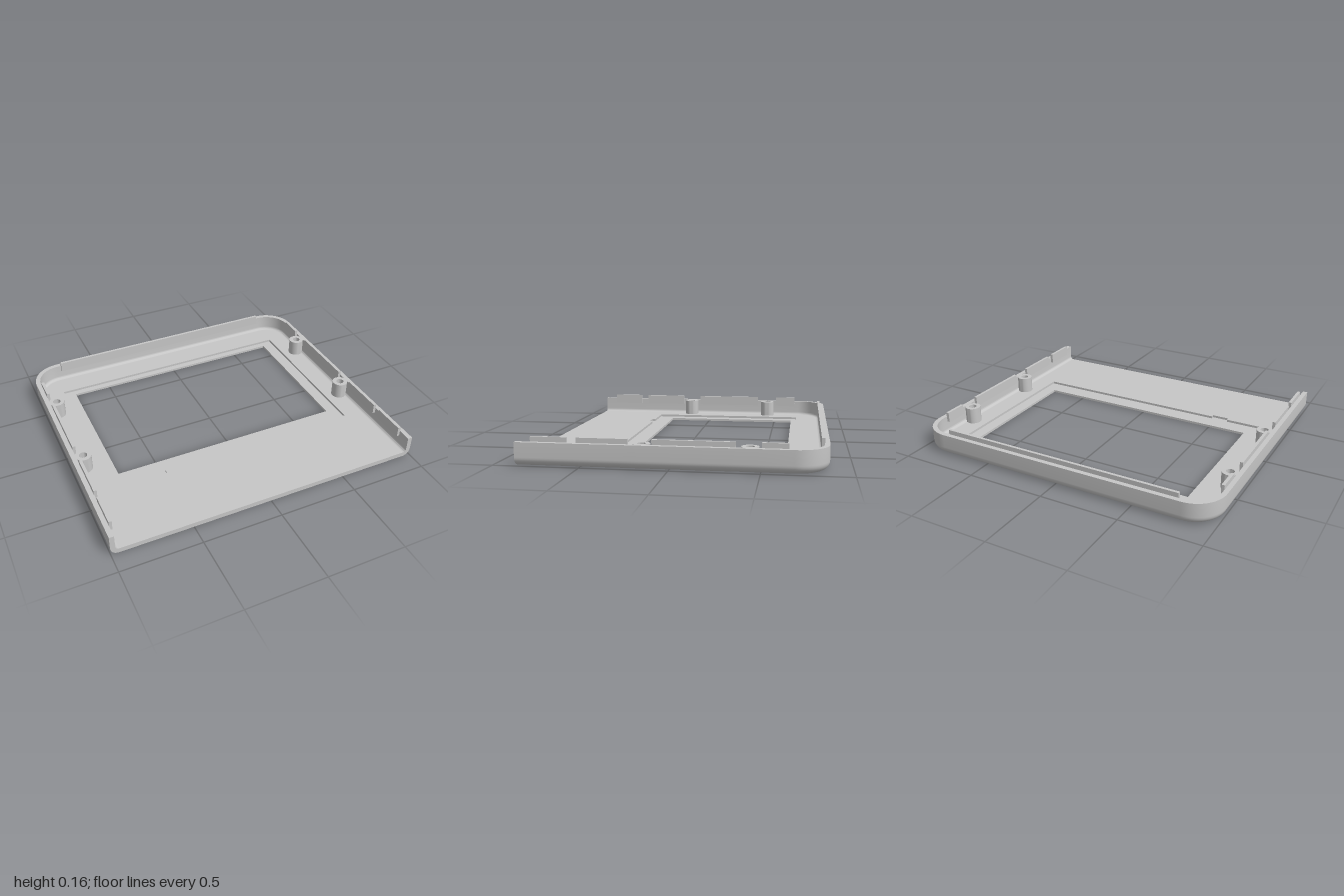
import * as THREE from 'three';
import { toCreasedNormals } from 'three/addons/utils/BufferGeometryUtils.js';

const HX = 1, HZ = 0.87, CORNER = 0.19;        // plan half sizes and back corner radius
const FLOOR = 0.03, WALL = 0.03, RIM = 0.136;  // thicknesses and wall height
const FILLET = 0.05;                           // outer bottom rounding
const POST_X = 0.925, POST_Z = [0.16, -0.44], BORE = 0.043;
const HALF = Math.sqrt(BORE ** 2 - (HX - FILLET - POST_X) ** 2); // bore half chord at the fillet start

// Wall section as [inset, height, rounding], from the underside over the rim to the floor
function wallProfile() {
  const p = [], n = 8;
  for (let i = 0; i <= n; i++) {
    const a = (i / n) * Math.PI / 2;
    p.push([FILLET - FILLET * Math.sin(a), FILLET - FILLET * Math.cos(a), FILLET]);
  }
  p.reverse();
  p.sort((a, b) => a[1] - b[1]);
  p.push([0, RIM], [WALL, RIM]);
  const r = FILLET - WALL;
  for (let i = n; i >= 0; i--) {
    const a = (i / n) * Math.PI / 2;
    p.push([FILLET - r * Math.sin(a), FILLET - r * Math.cos(a), r]);
  }
  return p;
}

// Stations along the U-shaped outline: outer point and outward normal
function wallStations() {
  const right = [{ x: HX, z: HZ, nx: 1, nz: 0 }];
  for (const zc of POST_Z) {
    for (let i = 0; i <= 10; i++) {
      const dz = HALF * (1 - i / 5);
      right.push({ x: HX, z: zc + dz, nx: 1, nz: 0, dz });
    }
  }
  for (let i = 0; i <= 14; i++) {
    const a = (i / 14) * Math.PI / 2, c = Math.cos(a), s = Math.sin(a);
    right.push({ x: HX - CORNER + CORNER * c, z: -HZ + CORNER - CORNER * s, nx: c, nz: -s });
  }
  const left = right.map(s => ({ ...s, x: -s.x, nx: -s.nx })).reverse();
  return [...right, ...left];
}

// Swept wall; the rounded bottom is trimmed where the screw bores cut into it
function wallGeometry() {
  const prof = wallProfile(), stations = wallStations(), pos = [], idx = [];
  const m = prof.length;
  for (const s of stations) {
    const limit = s.dz === undefined ? FILLET : HX - POST_X - Math.sqrt(BORE ** 2 - s.dz ** 2);
    for (let [d, y, r] of prof) {
      if (r && d > limit) {
        d = limit;
        y = FILLET - Math.sqrt(Math.max(0, r * r - (FILLET - d) ** 2));
      }
      pos.push(s.x - s.nx * d, y, s.z - s.nz * d);
    }
  }
  for (let i = 0; i < stations.length - 1; i++) {
    for (let j = 0; j < m - 1; j++) {
      const a = i * m + j, b = a + m;
      idx.push(a, b, b + 1, a, b + 1, a + 1);
    }
  }
  const g = new THREE.BufferGeometry();
  g.setAttribute('position', new THREE.Float32BufferAttribute(pos, 3));
  g.setIndex(idx);
  return toCreasedNormals(g, 0.6);
}

// Floor outline inside the rounded edge, notched by the screw bores (shape y = -z)
function floorShape(holePoints) {
  const e = HX - FILLET, r = CORNER - FILLET, a = Math.acos((e - POST_X) / BORE);
  const s = new THREE.Shape();
  s.moveTo(-e, -HZ);
  s.lineTo(e, -HZ);
  for (const z of POST_Z) s.absarc(POST_X, -z, BORE, -a, a, true);
  s.absarc(HX - CORNER, HZ - CORNER, r, 0, Math.PI / 2, false);
  s.absarc(CORNER - HX, HZ - CORNER, r, Math.PI / 2, Math.PI, false);
  for (const z of [...POST_Z].reverse()) s.absarc(-POST_X, -z, BORE, Math.PI - a, Math.PI + a, true);
  s.closePath();
  s.holes.push(new THREE.Path(holePoints.map(([x, z]) => new THREE.Vector2(x, -z))));
  return s;
}

export function createModel() {
  const root = new THREE.Group();
  root.name = 'displayBezel';
  const grey = new THREE.MeshStandardMaterial({ color: 0xc7c7c7 });
  grey.name = 'light grey plastic';

  const add = (name, geo, x = 0, y = 0, z = 0) => {
    const mesh = new THREE.Mesh(geo, grey);
    mesh.name = name;
    mesh.position.set(x, y, z);
    root.add(mesh);
  };
  const box = (name, x0, x1, y0, y1, z0, z1) =>
    add(name, new THREE.BoxGeometry(x1 - x0, y1 - y0, z1 - z0), (x0 + x1) / 2, (y0 + y1) / 2, (z0 + z1) / 2);

  add('outerWall', wallGeometry());

  // Open front ends of the wall
  for (const side of [1, -1]) {
    const pts = wallProfile().map(([d, y]) => new THREE.Vector2(side * (HX - d), y));
    add('wallEnd', new THREE.ShapeGeometry(new THREE.Shape(pts)), 0, 0, HZ);
  }

  // Floor in two layers: window opening below, wider stepped recess above
  const floorLayer = (name, hole, y) => {
    const g = new THREE.ExtrudeGeometry(floorShape(hole), { depth: FLOOR / 2, bevelEnabled: false, curveSegments: 16 });
    add(name, g.rotateX(-Math.PI / 2), 0, y, 0);
  };
  floorLayer('floorWithWindow', [[-0.75, -0.628], [0.75, -0.628], [0.75, 0.283], [-0.75, 0.283]], 0);
  floorLayer('floorRecess', [
    [-0.825, -0.667], [0.825, -0.667], [0.825, 0.39], [-0.48, 0.39],
    [-0.48, 0.412], [-0.59, 0.412], [-0.59, 0.39], [-0.825, 0.39],
  ], FLOOR / 2);

  // Hollow screw posts, counterbored from below
  const postProfile = [[0.05, FLOOR], [0.05, 0.135], [0.025, 0.135], [0.025, 0.09], [BORE, 0.09], [BORE, 0.004]]
    .map(([r, y]) => new THREE.Vector2(r, y));
  const postGeo = toCreasedNormals(new THREE.LatheGeometry(postProfile, 32), 0.6);

  for (const side of [1, -1]) {
    for (const z of POST_Z) add('screwPost', postGeo, side * POST_X, 0, z);
    // Snap lips along the side walls
    for (const [z0, z1] of [[0.575, 0.785], [0.23, 0.52], [-0.365, 0.095], [-0.65, -0.505]]) {
      const a = side * 0.952, b = side * 0.971;
      box('sideLip', Math.min(a, b), Math.max(a, b), 0.1, 0.165, z0, z1);
    }
  }
  box('backLip', -0.785, 0.785, 0.1, 0.165, -0.841, -0.823);
  return root;
}
